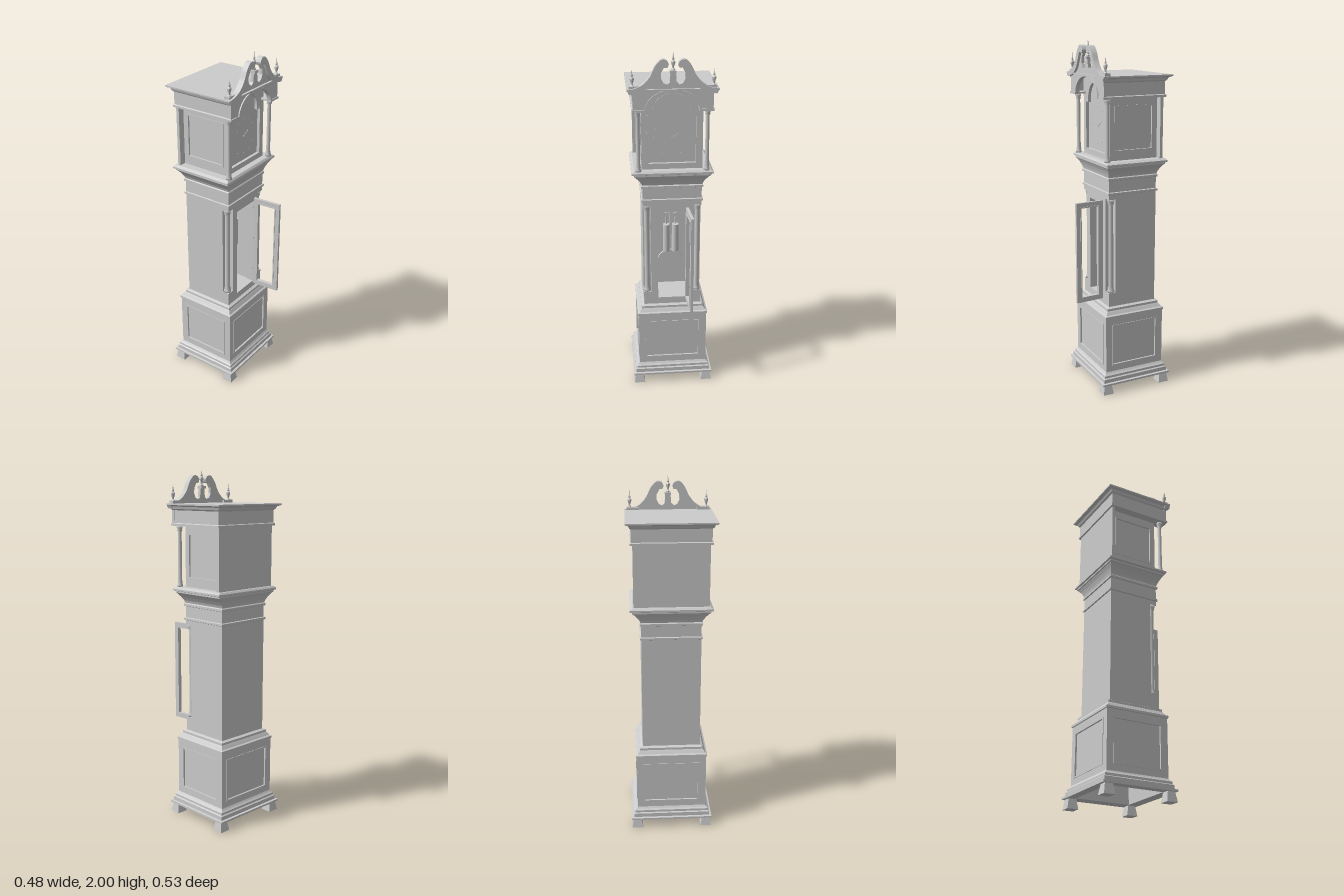
import * as THREE from 'three';

const solid = new THREE.MeshStandardMaterial({ color: 0xcccccc });
const flat = new THREE.MeshStandardMaterial({ color: 0xcccccc, flatShading: true, side: THREE.DoubleSide });

export function createModel() {
  const root = new THREE.Group();

  const add = (name, geo, x = 0, y = 0, z = 0, mat = solid, parent = root) => {
    const m = new THREE.Mesh(geo, mat);
    m.name = name;
    m.position.set(x, y, z);
    parent.add(m);
    return m;
  };
  // Box given by its limits
  const box = (name, x0, x1, y0, y1, z0, z1, parent = root) =>
    add(name, new THREE.BoxGeometry(x1 - x0, y1 - y0, z1 - z0),
      (x0 + x1) / 2, (y0 + y1) / 2, (z0 + z1) / 2, solid, parent);
  // Rectangular moulding: rows of [half width, y, front z, back z]; skip leaves out the front
  const moulding = (name, rows, skipFront = false) => {
    const pos = [];
    const loops = rows.map(([h, y, f, b]) => [[-h, y, f], [h, y, f], [h, y, b], [-h, y, b]]);
    for (let i = 0; i + 1 < loops.length; i++) {
      for (let j = skipFront ? 1 : 0; j < 4; j++) {
        const k = (j + 1) % 4, [lo, up] = [loops[i], loops[i + 1]];
        for (const p of [lo[j], lo[k], up[k], lo[j], up[k], up[j]]) pos.push(...p);
      }
    }
    const g = new THREE.BufferGeometry();
    g.setAttribute('position', new THREE.Float32BufferAttribute(pos, 3));
    g.computeVertexNormals();
    return add(name, g, 0, 0, 0, flat);
  };
  // Moulding rows as offsets from the trunk outline
  const around = (rows) => rows.map(([d, y, e = d]) => [0.165 + d, y, 0.095 + e, -0.2 - e]);
  const rect = (x0, x1, y0, y1, C = THREE.Shape) =>
    new C([[x0, y0], [x1, y0], [x1, y1], [x0, y1]].map((p) => new THREE.Vector2(...p)));
  const extrude = (name, shape, depth, z, parent = root) =>
    add(name, new THREE.ExtrudeGeometry(shape, { depth, bevelEnabled: false, curveSegments: 24 }),
      0, 0, z, solid, parent);
  const poly = (pts) => new THREE.Shape(pts.map((p) => new THREE.Vector2(...p)));
  const mirrorX = (pts) => pts.map(([x, y]) => [-x, y]).reverse();

  // Wall with a sunk panel and a bead around it, outer face at local z = 0
  const panelWall = (name, halfW, y0, y1, inX, inY0, inY1, x, z, turn) => {
    const g = new THREE.Group();
    g.name = name;
    const wall = rect(-halfW, halfW, y0, y1);
    wall.holes.push(rect(-inX, inX, inY0, inY1, THREE.Path));
    extrude('wallFrame', wall, 0.015, -0.015, g);
    const bead = rect(-inX, inX, inY0, inY1);
    bead.holes.push(rect(-inX + 0.008, inX - 0.008, inY0 + 0.008, inY1 - 0.008, THREE.Path));
    extrude('panelBead', bead, 0.015, -0.012, g);
    box('sunkPanel', -inX, inX, inY0, inY1, -0.015, -0.007, g);
    g.position.set(x, 0, z);
    g.rotation.y = turn;
    root.add(g);
  };

  // Feet
  for (const x of [-0.202, 0.202]) for (const z of [0.13, -0.233]) {
    const foot = new THREE.CylinderGeometry(0.031, 0.045, 0.057, 4).rotateY(Math.PI / 4);
    add('foot', foot, x, 0.0285, z, flat);
  }

  // Plinth: open below, panelled on all four sides
  moulding('plinthMoulding', around([[0.02, 0.055], [0.07, 0.055], [0.07, 0.066], [0.057, 0.068],
    [0.057, 0.09], [0.05, 0.095], [0.05, 0.108], [0.042, 0.115], [0.035, 0.125]]));
  panelWall('plinthFront', 0.2, 0.06, 0.455, 0.162, 0.16, 0.41, 0, 0.13, 0);
  panelWall('plinthBack', 0.2, 0.06, 0.455, 0.162, 0.16, 0.41, 0, -0.235, Math.PI);
  for (const s of [-1, 1])
    panelWall('plinthSide', 0.1825, 0.06, 0.455, 0.145, 0.16, 0.41, s * 0.2, -0.0525, s * Math.PI / 2);
  moulding('plinthTopMoulding', around([[0.035, 0.45], [0.04, 0.452], [0.04, 0.465], [0.03, 0.47],
    [0.02, 0.485], [0.016, 0.49], [0.016, 0.503], [0, 0.51]]));
  box('trunkFloor', -0.165, 0.165, 0.49, 0.5, -0.2, 0.09);

  // Trunk: hollow case with notched front corners and a door opening
  box('trunkBack', -0.165, 0.165, 0.5, 1.26, -0.2, -0.185);
  for (const s of [-1, 1])
    add('trunkSide', new THREE.BoxGeometry(0.015, 0.76, 0.245), s * 0.1575, 0.88, -0.0675);
  const opening = () => rect(-0.082, 0.082, 0.55, 1.1, THREE.Path);
  const backing = rect(-0.165, 0.165, 0.5, 1.26);
  backing.holes.push(opening());
  extrude('trunkFrontBacking', backing, 0.01, 0.045);
  const frontHalf = [[0.165, 0.5], [0.165, 0.59], [0.122, 0.59], [0.122, 1.135], [0.165, 1.135], [0.165, 1.26]];
  const trunkFront = poly([...frontHalf, ...mirrorX(frontHalf)]);
  trunkFront.holes.push(opening());
  extrude('trunkFront', trunkFront, 0.04, 0.055);
  moulding('trunkLowerBead', around([[0, 1.16], [0.007, 1.163], [0.007, 1.174], [0, 1.177]]));

  // Columns: shaft with base and capital, turned in one piece
  const column = (name, x, y0, y1, z, r) => {
    const pts = [[0, y0], [r * 1.3, y0], [r * 1.3, y0 + 0.012], [r, y0 + 0.016], [r * 1.15, y0 + 0.026],
      [r * 0.9, y0 + 0.032], [r * 0.85, y1 - 0.032], [r * 1.15, y1 - 0.026], [r, y1 - 0.016],
      [r * 1.3, y1 - 0.012], [r * 1.3, y1], [0, y1]];
    add(name, new THREE.LatheGeometry(pts.map((p) => new THREE.Vector2(...p)), 16), x, 0, z);
  };
  for (const s of [-1, 1]) {
    column('trunkColumn', s * 0.144, 0.59, 1.135, 0.073, 0.016);
    column('hoodColumn', s * 0.187, 1.35, 1.69, 0.115, 0.0125);
  }

  // Trunk door standing open, hinged at the opening's +x edge
  const door = new THREE.Group();
  door.name = 'trunkDoor';
  const doorFrame = rect(0, 0.166, 0.54, 1.12);
  doorFrame.holes.push(rect(0.03, 0.136, 0.57, 1.09, THREE.Path));
  extrude('doorFrame', doorFrame, 0.016, -0.008, door);
  const lip = rect(0.024, 0.142, 0.564, 1.096);
  lip.holes.push(rect(0.03, 0.136, 0.57, 1.09, THREE.Path));
  extrude('doorBead', lip, 0.022, -0.011, door);
  door.position.set(0.085, 0, 0.098);
  door.rotation.y = -Math.PI / 2 + 0.07;
  root.add(door);

  // Pendulum and weights
  const disc = (r, t, n = 32) => new THREE.CylinderGeometry(r, r, t, n).rotateX(Math.PI / 2);
  box('pendulumRod', -0.004, 0.004, 0.75, 1.2, -0.054, -0.05);
  add('pendulumBob', disc(0.076, 0.014, 40), 0, 0.717, -0.05);
  for (const x of [-0.026, 0.026]) {
    add('weight', new THREE.CylinderGeometry(0.02, 0.02, 0.17, 20), x, 0.895, 0);
    add('weightHook', new THREE.CylinderGeometry(0.003, 0.003, 0.05, 8), x, 1.0, 0);
    add('pulley', disc(0.014, 0.008, 20), x, 1.04, 0);
    for (const d of [-0.012, 0.012])
      add('cable', new THREE.CylinderGeometry(0.0015, 0.0015, 0.2, 6), x + d, 1.14, 0);
  }

  // Flared neck and hood seat
  moulding('neckMoulding', around([[0, 1.24], [0.007, 1.243], [0.007, 1.255], [0.002, 1.26],
    [0.008, 1.275, 0.006], [0.022, 1.295, 0.014], [0.04, 1.315, 0.025], [0.047, 1.32, 0.03],
    [0.047, 1.328, 0.03], [0.06, 1.332, 0.039], [0.06, 1.342, 0.039], [0.045, 1.352, 0.03]]));
  box('hoodSeat', -0.21, 0.21, 1.34, 1.352, -0.23, 0.125);

  // Hood: back board, panelled sides and arched dial front
  box('hoodBack', -0.205, 0.205, 1.35, 1.71, -0.217, -0.2);
  for (const s of [-1, 1]) {
    panelWall('hoodSide', 0.145, 1.35, 1.71, 0.12, 1.4, 1.65, s * 0.167, -0.055, s * Math.PI / 2);
    add('hoodSoffit', new THREE.BoxGeometry(0.07, 0.01, 0.35), s * 0.175, 1.697, -0.045);
  }
  const archOutline = (C, g) => {
    const p = new C();
    p.moveTo(-0.137 + g, 1.378 + g);
    p.lineTo(0.137 - g, 1.378 + g);
    p.lineTo(0.137 - g, 1.655 - g);
    p.lineTo(0.108 - g, 1.655 - g);
    p.absarc(0, 1.667, 0.108 - g, 0, Math.PI, false);
    p.lineTo(-0.108 + g, 1.655 - g);
    p.lineTo(-0.137 + g, 1.655 - g);
    p.closePath();
    return p;
  };
  const hoodFront = rect(-0.167, 0.167, 1.35, 1.805);
  hoodFront.holes.push(archOutline(THREE.Path, 0));
  extrude('hoodFront', hoodFront, 0.02, 0.07);
  const archBead = archOutline(THREE.Shape, 0);
  archBead.holes.push(archOutline(THREE.Path, 0.007));
  extrude('hoodDoorBead', archBead, 0.023, 0.07);
  extrude('dial', archOutline(THREE.Shape, 0), 0.006, 0.07);

  // Dial markers and hands
  for (let i = 0; i < 12; i++) {
    const a = i * Math.PI / 6;
    add('hourMarker', disc(0.003, 0.003, 8), 0.1 * Math.sin(a), 1.525 + 0.1 * Math.cos(a), 0.0765);
  }
  add('handHub', disc(0.005, 0.008, 12), 0, 1.525, 0.079);
  for (const [len, a] of [[0.05, -1], [0.08, 0.9]]) {
    const hand = new THREE.BoxGeometry(0.003, len, 0.002).translate(0, len / 2, 0);
    add('hand', hand, 0, 1.525, 0.079).rotation.z = a;
  }

  // Frieze and cornice, running round the sides and back
  moulding('friezeAndCornice', [[0.2, 1.69, 0.145, -0.215], [0.218, 1.69, 0.145, -0.227],
    [0.218, 1.702, 0.145, -0.227], [0.212, 1.706, 0.145, -0.222], [0.212, 1.775, 0.145, -0.222],
    [0.22, 1.782, 0.15, -0.23], [0.225, 1.795, 0.155, -0.237], [0.242, 1.803, 0.161, -0.255],
    [0.242, 1.811, 0.161, -0.255]], true);
  box('roof', -0.242, 0.242, 1.803, 1.811, -0.255, 0.161);

  // Pediment board, arched below and scrolled above
  const half = [[0.213, 1.69], [0.213, 1.805], [0.18, 1.81], [0.145, 1.83], [0.11, 1.87], [0.085, 1.92],
    [0.055, 1.945], [0.045, 1.925], [0.062, 1.895], [0.064, 1.865], [0.052, 1.84], [0.032, 1.832],
    [0.018, 1.845], [0.014, 1.9]];
  const board = poly([...half, ...mirrorX(half)]);
  board.lineTo(-0.15, 1.69);
  board.absellipse(0, 1.69, 0.14, 0.108, Math.PI, 0, true);
  board.lineTo(0.15, 1.69);
  extrude('pedimentBoard', board, 0.018, 0.13);
  const archBand = new THREE.Shape();
  archBand.absellipse(0, 1.69, 0.152, 0.118, 0, Math.PI, false);
  archBand.absellipse(0, 1.69, 0.14, 0.108, Math.PI, 0, true);
  extrude('archMoulding', archBand, 0.025, 0.13);
  for (const s of [-1, 1]) {
    box('friezeBead', s * 0.183 - 0.035, s * 0.183 + 0.035, 1.69, 1.702, 0.13, 0.153);
    // Swan-neck moulding
    const v = (x, y) => new THREE.Vector2(s * x, y);
    const neck = new THREE.Shape();
    neck.moveTo(s * 0.242, 1.811);
    neck.splineThru([v(0.2, 1.818), v(0.155, 1.84), v(0.12, 1.88), v(0.095, 1.93), v(0.065, 1.962),
      v(0.038, 1.96), v(0.024, 1.94)]);
    neck.splineThru([v(0.032, 1.923), v(0.05, 1.923), v(0.064, 1.925), v(0.082, 1.89), v(0.11, 1.84),
      v(0.15, 1.808), v(0.2, 1.79), v(0.23, 1.785)]);
    extrude('swanNeck', neck, 0.032, 0.13);
    box('finialBlock', s * 0.195 - 0.035, s * 0.195 + 0.035, 1.81, 1.826, 0.118, 0.15);
  }
  box('centrePlinth', -0.017, 0.017, 1.89, 1.905, 0.12, 0.155);

  // Finials
  const finial = [[0, 0], [0.011, 0], [0.011, 0.008], [0.005, 0.014], [0.005, 0.02], [0.012, 0.04],
    [0.012, 0.048], [0.005, 0.056], [0.007, 0.062], [0.003, 0.072], [0, 0.097]];
  for (const [x, y] of [[-0.213, 1.82], [0.213, 1.82], [0, 1.903]])
    add('finial', new THREE.LatheGeometry(finial.map((p) => new THREE.Vector2(...p)), 6), x, y, 0.138, flat);

  return root;
}
